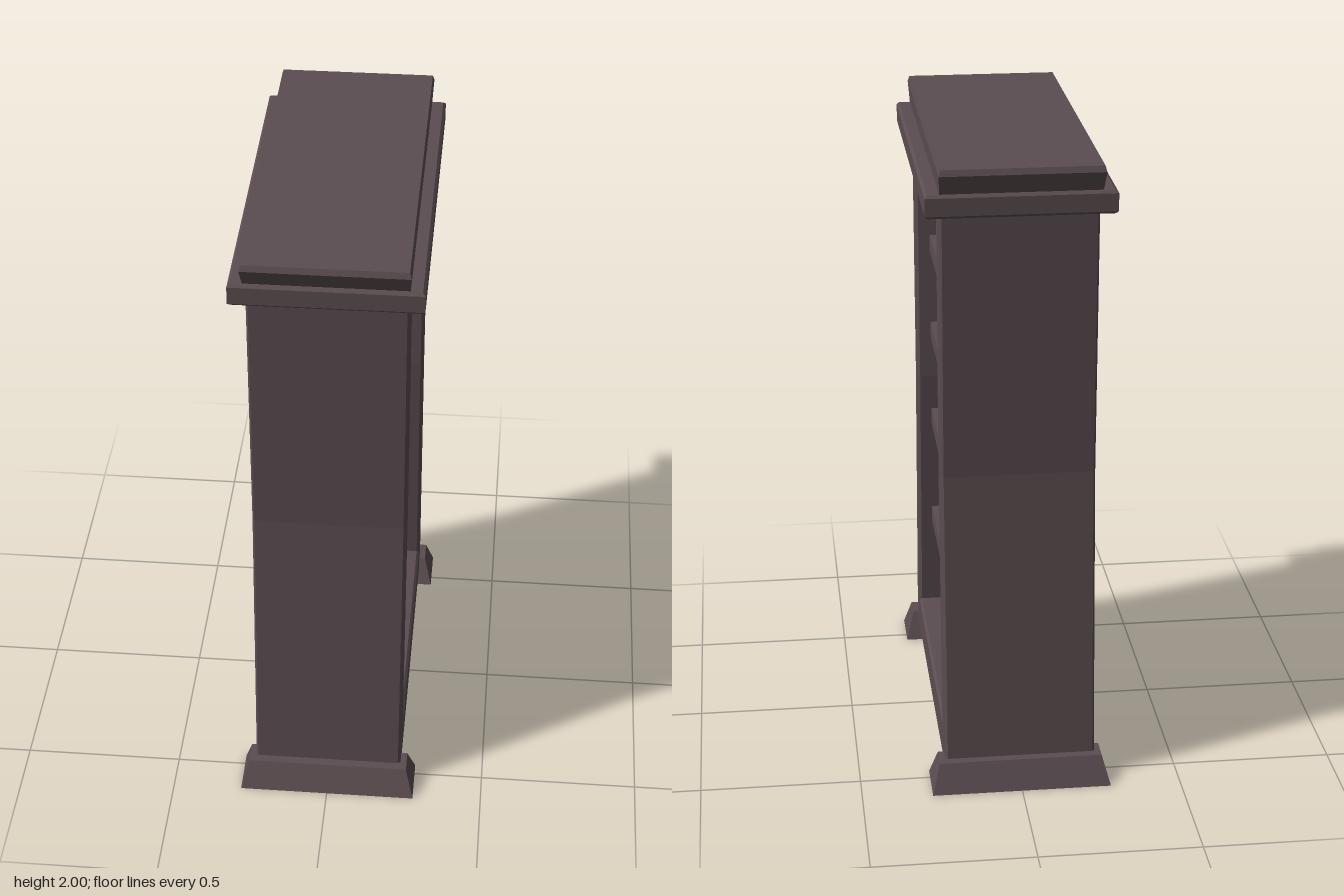
import * as THREE from 'three';

export function createModel() {
  const model = new THREE.Group();
  model.name = 'bookcase';
  const wood = new THREE.MeshStandardMaterial({ color: 0x5b4d51 });
  wood.name = 'dark wood';

  const add = (name, geometry, x = 0, y = 0, z = 0) => {
    const mesh = new THREE.Mesh(geometry, wood);
    mesh.name = name;
    mesh.position.set(x, y, z);
    model.add(mesh);
  };

  // Symmetric outline from [halfWidth, height] pairs, bottom to top
  const outline = (pairs, Type) => new Type([
    ...pairs.map(([w, y]) => new THREE.Vector2(w, y)),
    ...[...pairs].reverse().map(([w, y]) => new THREE.Vector2(-w, y)),
  ]);

  // Extrusion with chamfered ends that spans from a to b
  const chamfered = (shape, a, b, bevel) => new THREE.ExtrudeGeometry(shape, {
    depth: b - a - 2 * bevel, bevelEnabled: true, bevelThickness: bevel,
    bevelSize: bevel, bevelOffset: -bevel, bevelSegments: 1,
  }).translate(0, 0, a + bevel);

  // Box whose top and bottom have different half sizes, from y0 to y1
  const tapered = (y0, [bx, bz], y1, [tx, tz]) => {
    const g = new THREE.BoxGeometry(2, 2, 2).toNonIndexed();
    const p = g.attributes.position;
    for (let i = 0; i < p.count; i++) {
      const top = p.getY(i) > 0;
      p.setXYZ(i, p.getX(i) * (top ? tx : bx), top ? y1 : y0, p.getZ(i) * (top ? tz : bz));
    }
    g.computeVertexNormals();
    return g;
  };

  // Waisted carcass: solid back and a frame around the opening on +x
  const body = [[0.55, 0.05], [0.485, 1.02], [0.5, 1.86]];
  const opening = [[0.44, 0.17], [0.39, 1.02], [0.4, 1.8]];
  const back = outline(body, THREE.Shape);
  const frame = outline(body, THREE.Shape);
  frame.holes.push(outline(opening, THREE.Path));
  add('backPanel', chamfered(back, -0.235, -0.065, 0.006).rotateY(Math.PI / 2));
  add('frame', chamfered(frame, -0.09, 0.235, 0.008).rotateY(Math.PI / 2));

  // Shelves set back from the opening
  for (const top of [0.53, 0.9, 1.21, 1.51]) {
    add('shelf', new THREE.BoxGeometry(0.29, 0.055, 0.88), 0.045, top - 0.0275, 0);
  }

  // Feet at both ends
  for (const side of [1, -1]) {
    add('foot', tapered(0, [0.28, 0.077], 0.09, [0.255, 0.038]), 0, 0, side * 0.537);
  }

  // Moulding band and flared crown
  const band = outline([[0.28, -0.556], [0.28, 0.556]], THREE.Shape);
  add('moulding', chamfered(band, 1.85, 1.92, 0.008).rotateX(-Math.PI / 2));
  add('crownFlare', tapered(1.915, [0.237, 0.54], 1.982, [0.241, 0.58]));
  add('crownTop', tapered(1.982, [0.241, 0.58], 2, [0.236, 0.573]));

  return model;
}
